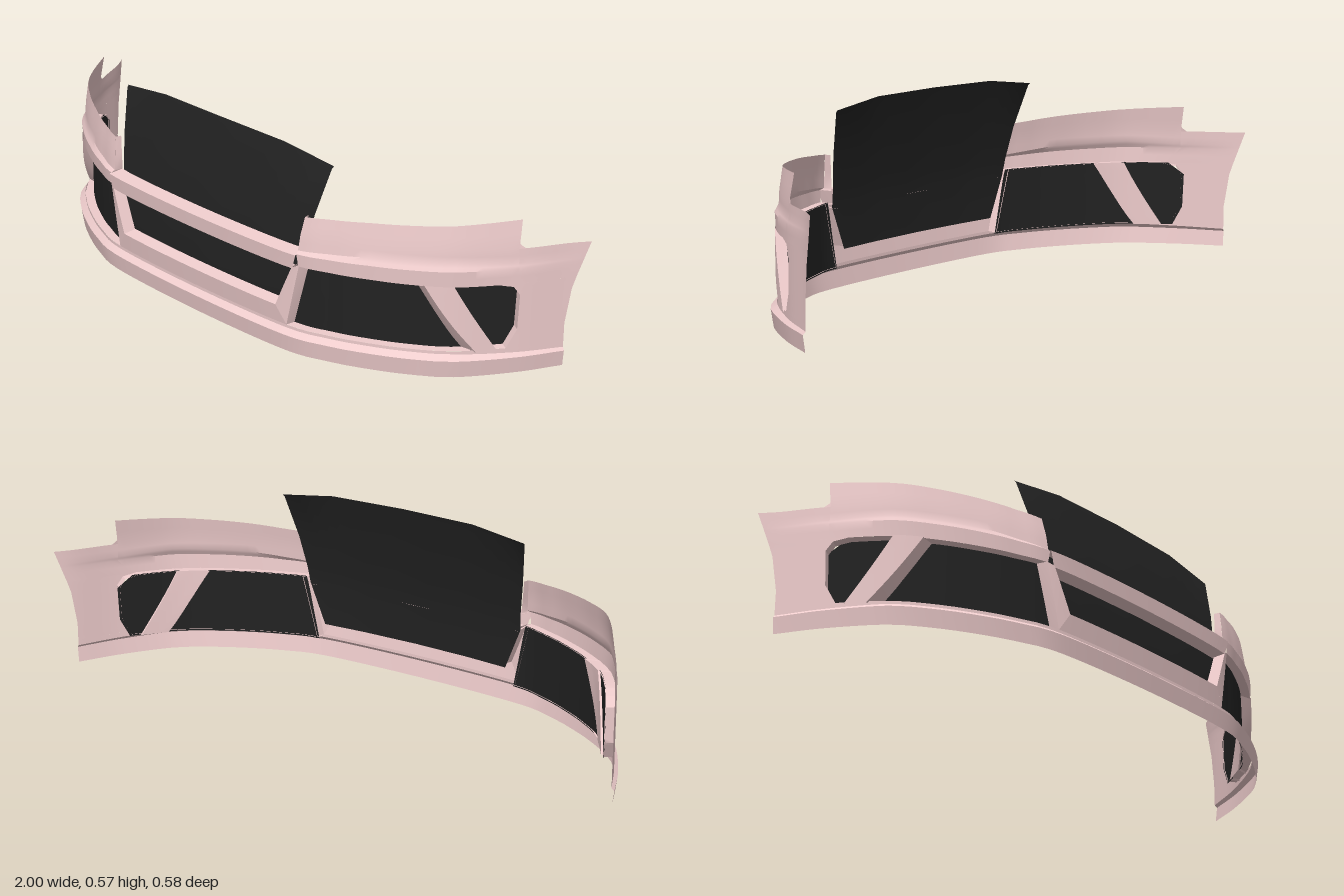
import * as THREE from 'three';
import { toCreasedNormals } from 'three/addons/utils/BufferGeometryUtils.js';

const paint = new THREE.MeshStandardMaterial({ color: 0xeecccc, side: THREE.DoubleSide });
const black = new THREE.MeshStandardMaterial({ color: 0x222222, side: THREE.DoubleSide });

// Plan curve of the body: x outwards, z forwards
const plan = new THREE.SplineCurve([
  [-0.36, 0.257], [0, 0.27], [0.36, 0.257], [0.5, 0.218], [0.6, 0.173], [0.7, 0.115],
  [0.8, 0.035], [0.9, -0.108], [0.965, -0.235], [1, -0.29],
].map(([x, z]) => new THREE.Vector2(x, z))).getPoints(180);

// Wrap a point (x, height, offset from the skin) around the plan curve
function wrap([x, y, d = 0]) {
  let i = plan.findIndex((p) => p.x >= x);
  if (i < 1) i = plan.length - 1;
  const a = plan[i - 1], b = plan[i];
  const slope = (b.y - a.y) / (b.x - a.x);
  const len = Math.hypot(1, slope);
  const shift = x < 0.001 ? 0 : (-slope / len) * d;
  return [x + shift, y, a.y + slope * (x - a.x) + d / len];
}

const mix = (a, b, t) => [0, 1, 2].map((k) => (a[k] ?? 0) * (1 - t) + (b[k] ?? 0) * t);

// Divide each span of a polyline into n steps
function divide(line, n) {
  const out = [line[0]];
  for (let i = 1; i < line.length; i++)
    for (let k = 1; k <= n; k++) out.push(mix(line[i - 1], line[i], k / n));
  return out;
}

// Skin a list of rows with matching point counts
function loft(group, name, side, rows, { n = 10, m = 1, material = paint, map = wrap } = {}) {
  const fine = rows.map((r) => divide(r, n));
  const grid = [fine[0]];
  for (let i = 1; i < fine.length; i++)
    for (let k = 1; k <= m; k++) grid.push(fine[i].map((p, j) => mix(fine[i - 1][j], p, k / m)));
  const w = grid[0].length, pos = [], index = [];
  for (const row of grid) for (const p of row) {
    const [x, y, z] = map(p);
    pos.push(x * side, y, z);
  }
  for (let r = 0; r < grid.length - 1; r++) for (let c = 0; c < w - 1; c++) {
    const a = r * w + c, b = a + 1, e = a + w, f = e + 1;
    index.push(...(side > 0 ? [a, b, f, a, f, e] : [a, f, b, a, e, f]));
  }
  const geo = new THREE.BufferGeometry();
  geo.setAttribute('position', new THREE.Float32BufferAttribute(pos, 3));
  geo.setIndex(index);
  const mesh = new THREE.Mesh(toCreasedNormals(geo, 0.45), material);
  mesh.name = name;
  group.add(mesh);
}

const depth = (line, d) => line.map(([x, y]) => [x, y, d]);

function buildHalf(side) {
  const g = new THREE.Group();
  g.name = side > 0 ? 'leftHalf' : 'rightHalf';
  const add = (name, rows, opt) => loft(g, name, side, rows, opt);

  // Lower lip with a sloping ledge that runs into the sill
  const lipRow = (y, d, endY, endD) => [[0, y, d], [0.37, y, d], [0.8, y, d], [0.965, endY, endD]];
  add('lowerLip', [
    lipRow(0, 0.01, 0, 0.002), lipRow(0.052, 0.018, 0.048, 0.008),
    lipRow(0.066, 0, 0.056, 0), lipRow(0.075, 0, 0.075, 0),
  ], { n: 12 });

  // Shoulder above the side opening, with its raised crease
  add('upperShoulder', [
    [[0.405, 0.268], [0.6, 0.27], [0.8, 0.27], [0.9, 0.27]],
    [[0.4, 0.305, 0.003], [0.6, 0.313, 0.003], [0.8, 0.317, 0.003], [0.9, 0.315]],
    [[0.398, 0.312, -0.008], [0.6, 0.332, -0.008], [0.8, 0.338, -0.008], [0.9, 0.33, -0.004]],
    [[0.403, 0.36, -0.013], [0.6, 0.375, -0.013], [0.8, 0.376, -0.01], [0.9, 0.372, -0.006]],
    [[0.412, 0.412, -0.022], [0.6, 0.43, -0.022], [0.8, 0.444, -0.02], [0.905, 0.453, -0.018]],
  ], { n: 9, m: 2 });
  add('shoulderInnerFlange', [
    [[0.4, 0.305, 0.003], [0.398, 0.312, -0.008], [0.412, 0.412, -0.022]],
    [[0.4, 0.305, -0.035], [0.398, 0.312, -0.035], [0.412, 0.412, -0.04]],
  ], { n: 2 });

  // Rear end beside the wheel
  add('upperEnd', [
    [[0.875, 0.27], [0.979, 0.27]],
    [[0.9, 0.315], [0.988, 0.315]],
    [[0.9, 0.33, -0.004], [0.991, 0.33]],
    [[0.9, 0.372, -0.006], [1, 0.373]],
  ], { n: 8, m: 2 });
  add('notchCorner', [
    [[0.9, 0.372, -0.006], [0.91, 0.371, -0.005]],
    [[0.9, 0.395, -0.009], [0.901, 0.385, -0.008]],
  ], { n: 2 });
  const rearEdge = [[0.885, 0.075], [0.901, 0.13], [0.903, 0.235], [0.893, 0.261], [0.87, 0.27]];
  add('rearEnd', [
    rearEdge,
    [[0.965, 0.075], [0.965, 0.13], [0.973, 0.235], [0.977, 0.258], [0.979, 0.27]],
  ], { n: 4, m: 8 });

  // Nose panel and slanted pillar around the centre opening
  add('nosePanel', [
    [[0, 0.075], [0.365, 0.075]],
    [[0, 0.13, 0.008], [0.33, 0.13, 0.008]],
    [[0, 0.137, -0.03], [0.325, 0.137, -0.03]],
  ]);
  add('grillePillar', [
    [[0.325, 0.13, -0.03], [0.33, 0.13, 0.008], [0.365, 0.075], [0.372, 0.075, -0.03]],
    [[0.383, 0.262, -0.03], [0.386, 0.262, 0.005], [0.407, 0.27], [0.425, 0.27, -0.03]],
  ], { n: 2, m: 6 });

  // Cross bar over the centre opening
  add('crossBar', [
    [0.25, -0.035], [0.258, 0.004], [0.303, 0.009], [0.31, -0.035],
  ].map(([y, d]) => [[0, y, d], [0.385 + (y - 0.25) * 0.3, y, d]]));

  // Returned edges of the side opening
  const rim = [[0.365, 0.075], [0.885, 0.075], ...rearEdge.slice(1), [0.6, 0.27], [0.407, 0.27]];
  add('openingFlange', [rim, depth(rim, -0.03)], { n: 8 });

  // Slanted strut dividing the side opening
  add('openingStrut', [
    [[0.815, 0.07, -0.034], [0.838, 0.07, 0.003], [0.872, 0.07, 0.003], [0.868, 0.07, -0.034], [0.815, 0.07, -0.034]],
    [[0.705, 0.272, -0.034], [0.735, 0.272, 0.003], [0.797, 0.272, 0.003], [0.79, 0.272, -0.034], [0.705, 0.272, -0.034]],
  ], { n: 3, m: 8 });

  // Dark inserts on either side of the strut
  add('mainInsert', [
    [[0.365, 0.07, -0.028], [0.82, 0.07, -0.028]],
    [[0.4, 0.235, -0.028], [0.73, 0.235, -0.028]],
    [[0.41, 0.272, -0.028], [0.71, 0.272, -0.028]],
  ], { n: 20, m: 4, material: black });
  add('rearInsert', [
    [[0.862, 0.07, -0.028], [0.888, 0.07, -0.028]],
    [[0.838, 0.13, -0.028], [0.905, 0.13, -0.028]],
    [[0.8, 0.235, -0.028], [0.907, 0.235, -0.028]],
    [[0.785, 0.272, -0.028], [0.88, 0.272, -0.028]],
  ], { n: 8, m: 3, material: black });
  return g;
}

export function createModel() {
  const model = new THREE.Group();
  model.name = 'frontBumper';
  for (const side of [1, -1]) model.add(buildHalf(side));

  // Dark centre plate, rising behind the cross bar: height, half width, depth, drop at the ends
  const rows = [
    [0.125, 0.335, 0.24, 0], [0.255, 0.388, 0.236, 0], [0.31, 0.393, 0.227, 0],
    [0.41, 0.41, 0.208, 0], [0.555, 0.436, 0.17, 0.012], [0.575, 0.438, 0.164, 0.025],
  ].map(([y, w, z, drop]) => [-1, -0.58, 0, 0.58, 1].map((t) => [
    t * w, y - drop * (Math.abs(t) === 1 ? 1 : t ? 0.1 : 0), z - 0.016 * t * t,
  ]));
  loft(model, 'centrePlate', 1, rows, { n: 4, material: black, map: (p) => p });
  return model;
}
